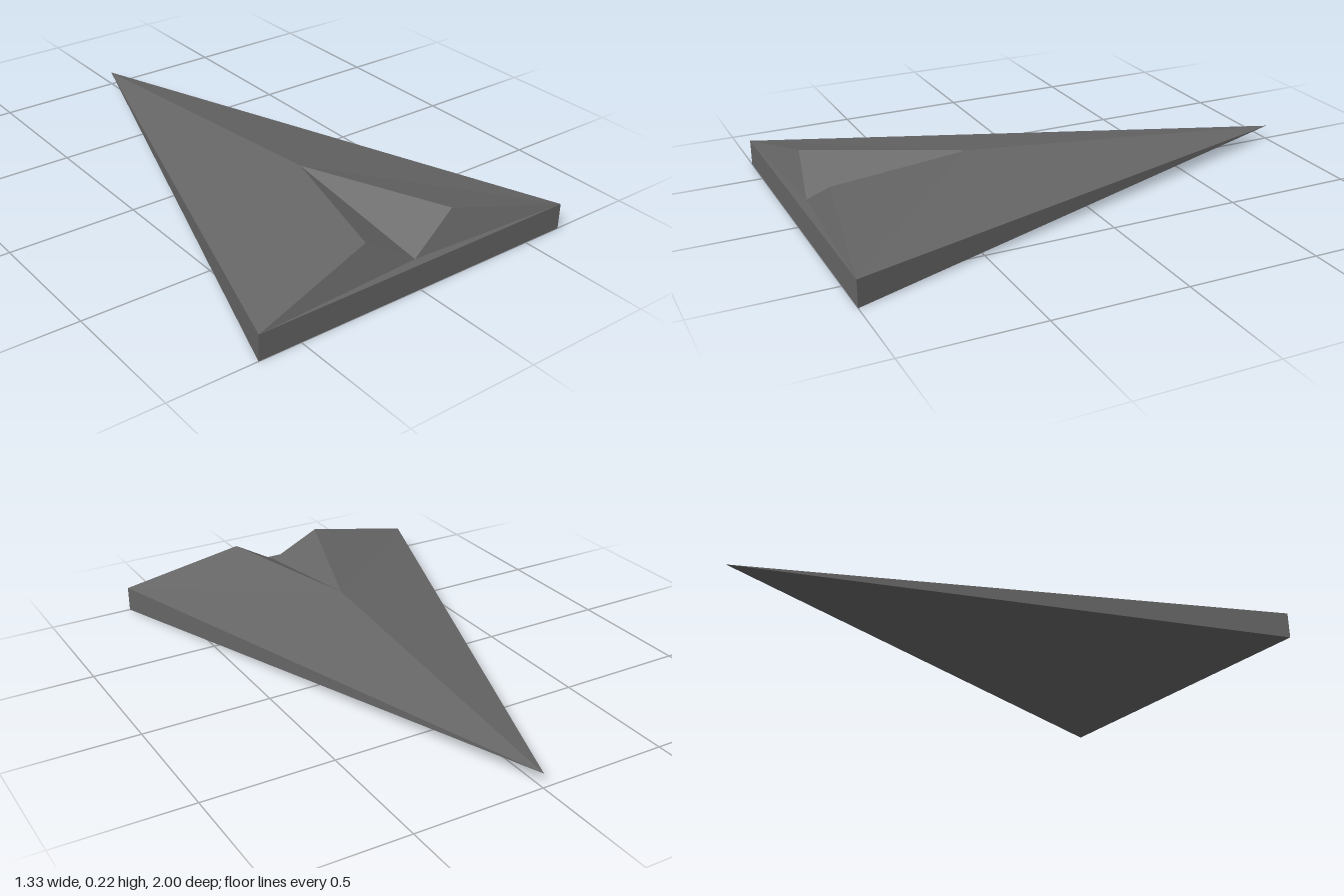
import * as THREE from 'three';

// Key points of the left (+x) half; the right half is mirrored
const nose = [0, 0.055, -1];
const notchTip = [0, 0.18, 0.35];
const notchFloor = [0, 0.1, 0.965];
const peak = [0.19, 0.215, 0.93];
const cornerTop = [0.665, 0.1, 1];
const cornerBottom = [0.665, 0, 1];
const midTop = [0, 0.1, 1];
const midBottom = [0, 0, 1];

// Triangles of each part, counter-clockwise seen from outside
const parts = {
  upperHull: [[nose, notchTip, cornerTop], [notchTip, peak, cornerTop]],
  notch: [[notchTip, notchFloor, peak]],
  sternSlope: [[peak, notchFloor, cornerTop]],
  sternLedge: [[notchFloor, midTop, cornerTop]],
  sternWall: [[cornerTop, midTop, midBottom], [cornerTop, midBottom, cornerBottom]],
  sideWall: [[nose, cornerTop, cornerBottom]],
  underside: [[nose, cornerBottom, midBottom]],
};

const mirror = ([x, y, z]) => [-x, y, z];

function facetedGeometry(triangles) {
  const both = triangles.flatMap(([a, b, c]) => [[a, b, c], [mirror(a), mirror(c), mirror(b)]]);
  const geometry = new THREE.BufferGeometry();
  geometry.setAttribute('position', new THREE.Float32BufferAttribute(both.flat(2), 3));
  geometry.computeVertexNormals();
  return geometry;
}

export function createModel() {
  const group = new THREE.Group();
  group.name = 'wedgeShip';
  const hullGrey = new THREE.MeshStandardMaterial({ color: 0x666666, flatShading: true });
  hullGrey.name = 'hull grey';
  for (const [name, triangles] of Object.entries(parts)) {
    const mesh = new THREE.Mesh(facetedGeometry(triangles), hullGrey);
    mesh.name = name;
    group.add(mesh);
  }
  return group;
}
